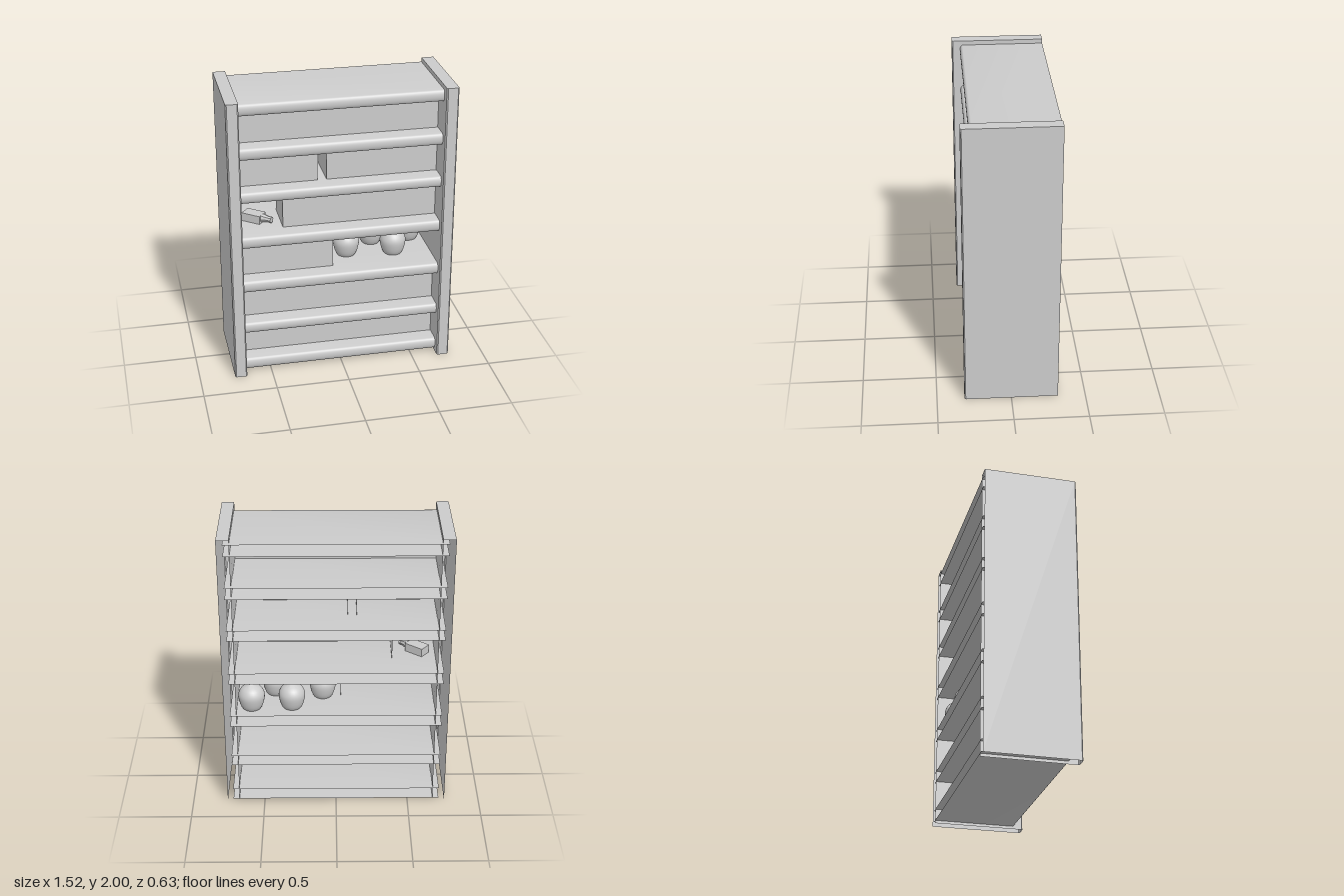
import * as THREE from 'three';
import { toCreasedNormals } from 'three/addons/utils/BufferGeometryUtils.js';

const material = new THREE.MeshStandardMaterial({ color: 0xcccccc, side: THREE.DoubleSide });
const BACK = -0.315;
// bottom and top height of each shelf board
const levels = [[0.02, 0.1], [0.305, 0.38], [0.62, 0.7], [0.95, 1.03], [1.28, 1.355], [1.585, 1.665], [1.89, 1.97]];

function add(parent, name, geometry) {
  const mesh = new THREE.Mesh(geometry, material);
  mesh.name = name;
  parent.add(mesh);
  return mesh;
}

// Open sheet: a path of points swept along a straight offset
function sweep(points, offset) {
  const pos = [];
  for (let i = 0; i < points.length - 1; i++) {
    const a = points[i], b = points[i + 1];
    const c = b.clone().add(offset), d = a.clone().add(offset);
    for (const p of [a, b, c, a, c, d]) pos.push(p.x, p.y, p.z);
  }
  const geo = new THREE.BufferGeometry();
  geo.setAttribute('position', new THREE.Float32BufferAttribute(pos, 3));
  return toCreasedNormals(geo, 0.7);
}

// U-shaped outline seen from above, open at the back, with bevelled front corners
function outline(x0, x1, back, front, bevel) {
  const pts = [[x0, back], [x0, front - bevel], [x0 + bevel, front], [x1 - bevel, front], [x1, front - bevel], [x1, back]];
  return pts.map(([x, z]) => new THREE.Vector3(x, 0, z));
}

function addPost(parent, name, x0, x1) {
  const post = new THREE.Group();
  post.name = name;
  const pts = outline(x0, x1, BACK, 0.315, 0.008);
  add(post, 'postWalls', sweep(pts, new THREE.Vector3(0, 2, 0)));
  const shape = new THREE.Shape(pts.map((p) => new THREE.Vector2(p.x, -p.z)));
  add(post, 'postTop', new THREE.ShapeGeometry(shape).rotateX(-Math.PI / 2)).position.y = 2;
  parent.add(post);
}

function addBoard(parent, y0, y1) {
  // rounded nose, open at the back and the ends
  const pts = [new THREE.Vector3(-0.72, y1, BACK)];
  const half = (y1 - y0) / 2;
  for (let i = 0; i <= 10; i++) {
    const a = Math.PI / 2 - (i / 10) * Math.PI;
    pts.push(new THREE.Vector3(-0.72, y0 + half + half * Math.sin(a), 0.24 + 0.02 * Math.cos(a)));
  }
  pts.push(new THREE.Vector3(-0.72, y0, BACK));
  add(parent, 'shelfBoard', sweep(pts, new THREE.Vector3(1.44, 0, 0)));
}

function addVase(parent, x, z) {
  const curve = new THREE.SplineCurve([
    [0.062, 0], [0.078, 0.03], [0.09, 0.085], [0.086, 0.12], [0.066, 0.152], [0.035, 0.172], [0.014, 0.183], [0.009, 0.195],
  ].map(([r, y]) => new THREE.Vector2(r, y)));
  const profile = [new THREE.Vector2(0, 0), ...curve.getPoints(20),
    new THREE.Vector2(0.012, 0.205), new THREE.Vector2(0.012, 0.214), new THREE.Vector2(0, 0.214)];
  const geo = toCreasedNormals(new THREE.LatheGeometry(profile, 28), 0.7);
  add(parent, 'vase', geo).position.set(x, 0.7, z);
}

// Small box with a tapered nozzle, turned towards the front corner
function addTool(parent) {
  const tool = new THREE.Group();
  tool.name = 'smallTool';
  add(tool, 'toolBody', new THREE.BoxGeometry(0.14, 0.058, 0.085)).position.set(-0.02, 0.029, 0);
  const taper = new THREE.CylinderGeometry(0.018, 0.032, 0.06, 8).rotateZ(-Math.PI / 2);
  add(tool, 'toolNozzle', toCreasedNormals(taper, 0.5)).position.set(0.08, 0.032, 0);
  const tip = new THREE.CylinderGeometry(0.022, 0.022, 0.015, 8).rotateZ(-Math.PI / 2);
  add(tool, 'toolTip', toCreasedNormals(tip, 0.5)).position.set(0.113, 0.032, 0);
  tool.position.set(-0.54, 1.03, 0);
  tool.rotation.y = -0.68;
  parent.add(tool);
}

export function createModel() {
  const model = new THREE.Group();
  model.name = 'shelfUnit';

  addPost(model, 'rightPost', -0.76, -0.677);
  addPost(model, 'leftPost', 0.677, 0.76);
  for (const [y0, y1] of levels) addBoard(model, y0, y1);

  // Rows of stored goods filling the bays, from the bottom up
  const E = 0.675;
  const bays = [[[-E, E]], [[-E, E]], [[-E, -0.035]], [[-0.38, E]], [[-E, -0.14], [-0.08, E]], [[-E, E]]];
  bays.forEach((blocks, i) => {
    const y = levels[i][1], height = levels[i + 1][0] - y;
    for (const [x0, x1] of blocks) {
      const pts = outline(x0, x1, -0.145, 0.135, 0);
      add(model, 'storedBlock', sweep([pts[0], pts[1], pts[4], pts[5]], new THREE.Vector3(0, height, 0))).position.y = y;
    }
  });

  for (const [x, z] of [[0.09, -0.03], [0.3, -0.18], [0.415, 0.01], [0.575, -0.19]]) addVase(model, x, z);
  addTool(model);
  return model;
}
